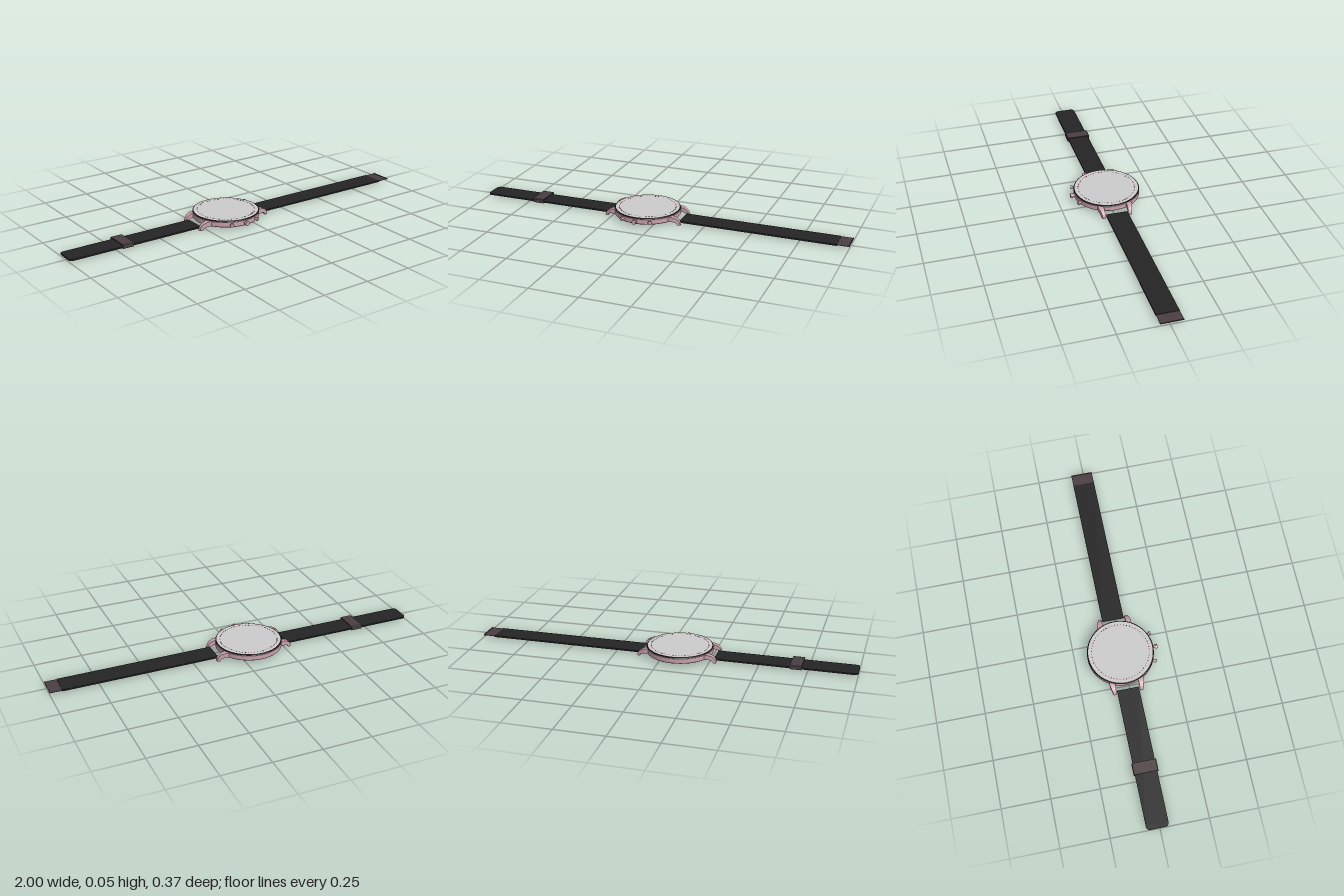
import * as THREE from 'three';

const CX = -0.078, CZ = -0.01, R = 0.173; // case centre and radius

const mat = (color) => new THREE.MeshStandardMaterial({ color });
const metal = mat(0xc8a2aa), trim = mat(0x4a3e41), dark = mat(0x2a2024);
const leather = mat(0x242424), glass = mat(0xcccccc), marks = mat(0x8a3048);

function add(parent, name, geometry, material, x = 0, y = 0, z = 0) {
  const mesh = new THREE.Mesh(geometry, material);
  mesh.name = name;
  mesh.position.set(x, y, z);
  parent.add(mesh);
  return mesh;
}

// Lathe with hard edges: every profile segment is its own surface
function turned(parent, name, profile, material, segments = 72) {
  const group = new THREE.Group();
  group.name = name;
  for (let i = 0; i < profile.length - 1; i++) {
    const pts = [profile[i], profile[i + 1]].map(([r, y]) => new THREE.Vector2(r, y));
    add(group, name + 'Surface', new THREE.LatheGeometry(pts, segments), material);
  }
  parent.add(group);
  return group;
}

// Curved lug: side profile extruded across, its outer face flared toward the case
function lugGeometry() {
  const s = new THREE.Shape();
  s.moveTo(0.11, 0.043);
  s.lineTo(0.16, 0.043);
  s.bezierCurveTo(0.185, 0.042, 0.207, 0.027, 0.209, 0.0);
  s.lineTo(0.194, 0.0);
  s.quadraticCurveTo(0.189, 0.018, 0.165, 0.018);
  s.lineTo(0.11, 0.018);
  const g = new THREE.ExtrudeGeometry(s, { depth: 0.016, bevelEnabled: false, curveSegments: 10 });
  const p = g.attributes.position;
  for (let i = 0; i < p.count; i++) {
    const flare = 0.012 * THREE.MathUtils.clamp((0.209 - p.getX(i)) / 0.04, 0, 1);
    if (p.getZ(i) > 0.008) p.setZ(i, 0.016 + flare);
  }
  g.translate(0, 0, 0.061);
  g.computeVertexNormals();
  return g;
}

// Strap lying flat between two x positions, with rounded far corners if r > 0
function strapGeometry(x0, x1, r) {
  const w = 0.057, s = new THREE.Shape();
  s.moveTo(x1, -w);
  s.lineTo(x1, w);
  s.lineTo(x0 + r, w);
  if (r) s.quadraticCurveTo(x0, w, x0, w - r); else s.lineTo(x0, w);
  s.lineTo(x0, -w + r);
  if (r) s.quadraticCurveTo(x0, -w, x0 + r, -w);
  const g = new THREE.ExtrudeGeometry(s, { depth: 0.008, bevelEnabled: false, curveSegments: 6 });
  g.rotateX(-Math.PI / 2);
  return g;
}

export function createModel() {
  const model = new THREE.Group();
  const head = new THREE.Group();
  head.name = 'watchHead';
  head.position.set(CX, 0, CZ);
  model.add(head);

  // Case, bezel and crystal
  turned(head, 'case', [[0, 0.015], [R - 0.003, 0.015], [R, 0.018], [R, 0.042], [R - 0.002, 0.044]], metal);
  turned(head, 'bezel', [[R - 0.002, 0.043], [R, 0.045], [R - 0.002, 0.049], [R - 0.006, 0.05]], dark);
  turned(head, 'crystal', [[R - 0.006, 0.05], [0, 0.05]], glass);

  // Minute marks around the dial
  const ring = new THREE.Group();
  ring.name = 'minuteMarks';
  head.add(ring);
  for (let i = 0; i < 60; i++) {
    const a = (i / 60) * Math.PI * 2;
    const length = i % 5 ? 0.004 : 0.007;
    const m = add(ring, 'minuteMark', new THREE.BoxGeometry(0.005, 0.001, length), marks,
      0.149 * Math.sin(a), 0.0502, 0.149 * Math.cos(a));
    m.rotation.y = a;
  }

  // Four lugs and the bars between them
  const lug = lugGeometry();
  for (const sx of [-1, 1]) {
    for (const sz of [-1, 1]) add(head, 'lug', lug, metal).scale.set(sx, 1, sz);
    const bar = add(head, 'springBar', new THREE.CylinderGeometry(0.004, 0.004, 0.13, 12), metal, sx * 0.198, 0.011, 0);
    bar.rotation.x = Math.PI / 2;
  }

  // Crown in the middle with a pusher on each side
  for (const a of [-0.43, 0, 0.43]) {
    const knob = new THREE.Group();
    knob.name = a ? 'pusher' : 'crown';
    knob.position.set(R * Math.sin(a), 0.031, R * Math.cos(a));
    knob.rotation.set(Math.PI / 2, 0, -a);
    head.add(knob);
    const stem = a ? 0.006 : 0.008, cap = a ? 0.01 : 0.0125;
    add(knob, 'stem', new THREE.CylinderGeometry(stem, stem, 0.024, 20), metal, 0, 0.003, 0);
    add(knob, 'cap', new THREE.CylinderGeometry(cap * 0.93, cap, a ? 0.008 : 0.011, 20), metal, 0, a ? 0.014 : 0.0165, 0);
  }

  // Strap halves
  add(model, 'strapLong', strapGeometry(-1, -0.27, 0.022), leather, 0, 0.007, CZ);
  add(model, 'strapShort', strapGeometry(0.117, 0.937, 0), leather, 0, 0.007, CZ);

  // Sliding keeper: a flat loop around the long half
  const loop = new THREE.Shape();
  loop.moveTo(-0.063, 0.005);
  loop.lineTo(0.063, 0.005);
  loop.lineTo(0.063, 0.023);
  loop.lineTo(0.06, 0.026);
  loop.lineTo(-0.06, 0.026);
  loop.lineTo(-0.063, 0.023);
  const hole = new THREE.Path();
  hole.moveTo(-0.059, 0.007);
  hole.lineTo(-0.059, 0.022);
  hole.lineTo(0.059, 0.022);
  hole.lineTo(0.059, 0.007);
  loop.holes.push(hole);
  const keeperGeometry = new THREE.ExtrudeGeometry(loop, { depth: 0.06, bevelEnabled: false });
  add(model, 'keeper', keeperGeometry, trim, -0.72, 0, CZ).rotation.y = Math.PI / 2;

  // Thin end plate of the clasp with a small lip
  add(model, 'claspPlate', new THREE.BoxGeometry(0.068, 0.002, 0.114), trim, 0.966, 0.012, CZ);
  add(model, 'claspLip', new THREE.BoxGeometry(0.004, 0.006, 0.114), trim, 0.998, 0.013, CZ);

  return model;
}
